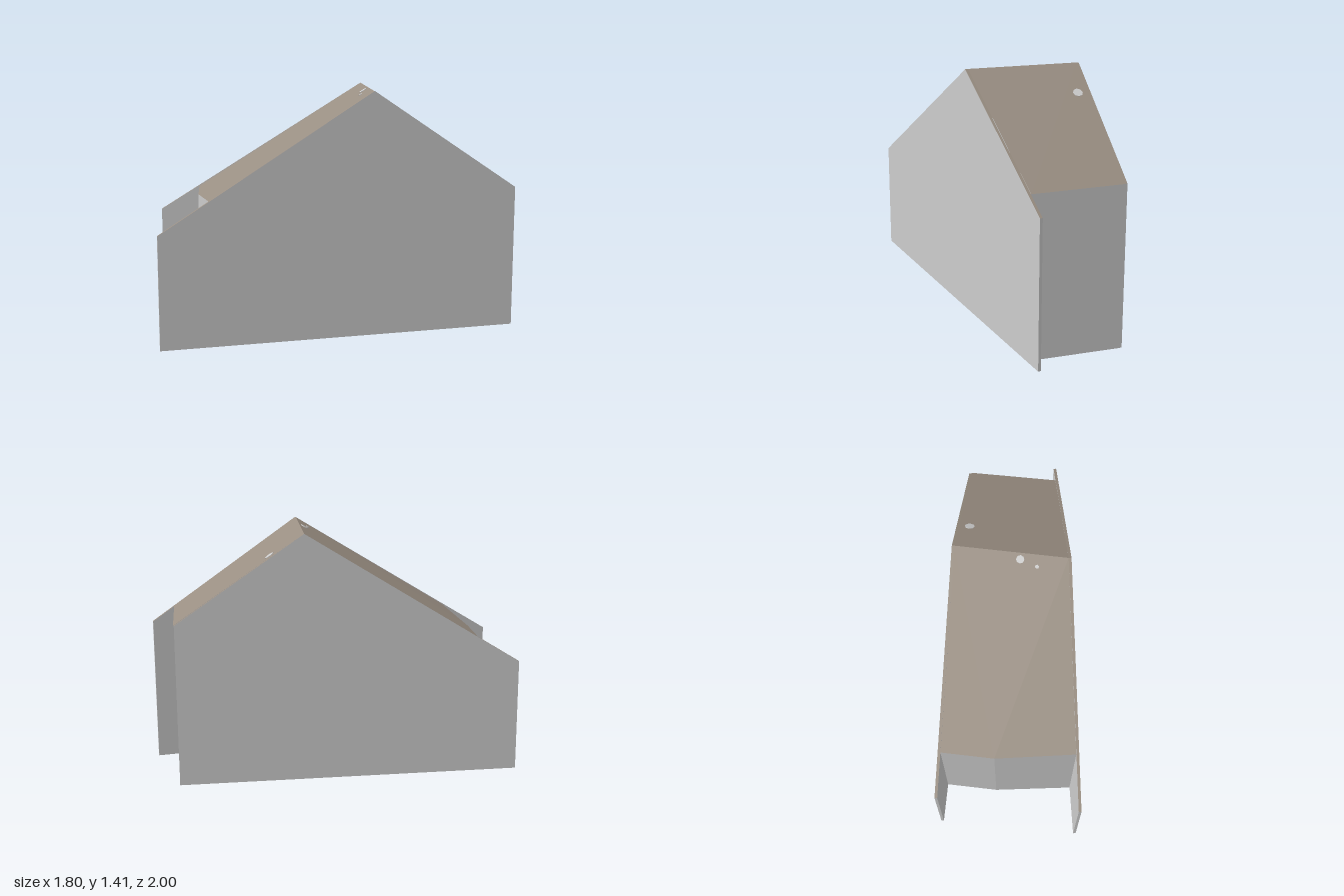
import * as THREE from 'three';

const V = (x, y, z) => new THREE.Vector3(x, y, z);

const wallMat = new THREE.MeshStandardMaterial({ color: 0xcccccc });
wallMat.name = 'light grey wall';
const roofMat = new THREE.MeshStandardMaterial({ color: 0x998e82 });
roofMat.name = 'taupe roof';
const mats = [wallMat, roofMat];
const WALL = 0, ROOF = 1;

// Mesh from convex flat faces [points, material], each turned away from centre
function facesMesh(name, faces, centre) {
  const pos = [], geo = new THREE.BufferGeometry();
  for (const [pts, mat] of faces) {
    const start = pos.length / 3;
    const mid = pts.reduce((s, p) => s.add(p), V(0, 0, 0)).divideScalar(pts.length);
    const n = pts[1].clone().sub(pts[0]).cross(pts[2].clone().sub(pts[0]));
    const p = n.dot(mid.sub(centre)) < 0 ? [...pts].reverse() : pts;
    for (let i = 1; i < p.length - 1; i++)
      for (const v of [p[0], p[i], p[i + 1]]) pos.push(v.x, v.y, v.z);
    geo.addGroup(start, pos.length / 3 - start, mat);
  }
  geo.setAttribute('position', new THREE.Float32BufferAttribute(pos, 3));
  geo.computeVertexNormals();
  const mesh = new THREE.Mesh(geo, mats);
  mesh.name = name;
  return mesh;
}

// Gable wall slab; its sloping top edges carry the roof colour
function gableWall(name, front, ridge, back, shift) {
  const outer = [V(front.x, 0, front.z), front, ridge, back, V(back.x, 0, back.z)];
  const inner = outer.map((p) => p.clone().add(shift));
  const faces = [[outer, WALL], [inner, WALL]];
  outer.forEach((p, i) => {
    const j = (i + 1) % 5;
    faces.push([[p, outer[j], inner[j], inner[i]], i === 1 || i === 2 ? ROOF : WALL]);
  });
  const centre = outer.concat(inner).reduce((s, p) => s.add(p), V(0, 0, 0)).divideScalar(10);
  return facesMesh(name, faces, centre);
}

export function createModel() {
  const model = new THREE.Group();
  model.name = 'house';

  // Two side walls running past the facades
  const inR = V(0.732, 0, 0.681).multiplyScalar(0.016);
  const inL = V(-0.825, 0, -0.565).multiplyScalar(0.016);
  const ridgeR = V(-0.06, 1.415, -0.475), ridgeL = V(0.41, 1.415, -0.02);
  const backR = V(0.43, 0.925, -1);
  model.add(
    gableWall('rightGableWall', V(-0.9, 0.65, 0.425), ridgeR, backR, inR),
    gableWall('leftGableWall', V(-0.285, 0.65, 1), ridgeL, V(0.9, 0.835, -0.74), inL));

  // Eaves between the walls, front facade slightly bent
  const a = ridgeR.clone().add(inR), b = ridgeL.clone().add(inL);
  const front = [V(-0.73, 0.79, 0.265), V(-0.51, 0.79, 0.48), V(-0.135, 0.825, 0.75)];
  const back = [V(0.815, 0.92, -0.645), backR.clone().add(inR)];
  back[1].z = -0.995;
  const ground = (p) => V(p.x, 0, p.z);
  const centre = V(0, 0.5, 0);
  const facade = (p, q) => [[p, q, ground(q), ground(p)], WALL];

  model.add(
    facesMesh('frontRoof', [[[a, front[0], front[1]], ROOF], [[a, front[1], b], ROOF],
      [[b, front[1], front[2]], ROOF]], centre),
    facesMesh('backRoof', [[[a, b, back[0]], ROOF], [[a, back[0], back[1]], ROOF]], centre),
    facesMesh('frontFacade', [facade(front[0], front[1]), facade(front[1], front[2])], centre),
    facesMesh('backFacade', [facade(back[0], back[1])], centre),
    facesMesh('floor', [[[...front, ...back].map(ground), WALL]], centre));

  // Small vent caps lying almost flush with the roof: x, z, radius, side
  const across = V(0.695, 0, -0.718);
  for (const [x, z, r, side] of [[0.12, -0.56, 0.028, 1], [0.19, -0.19, 0.023, -1], [0.24, -0.105, 0.011, -1]]) {
    const slope = side > 0 ? 0.69 : 0.62;
    const d = V(x - a.x, 0, z - a.z).dot(across);
    const cap = new THREE.Mesh(new THREE.CylinderGeometry(r, r, 0.008, 8), wallMat);
    cap.name = 'roofVent';
    cap.position.set(x, 1.415 - slope * Math.abs(d), z);
    const normal = across.clone().multiplyScalar(side * slope).add(V(0, 1, 0)).normalize();
    cap.quaternion.setFromUnitVectors(V(0, 1, 0), normal);
    model.add(cap);
  }
  return model;
}
